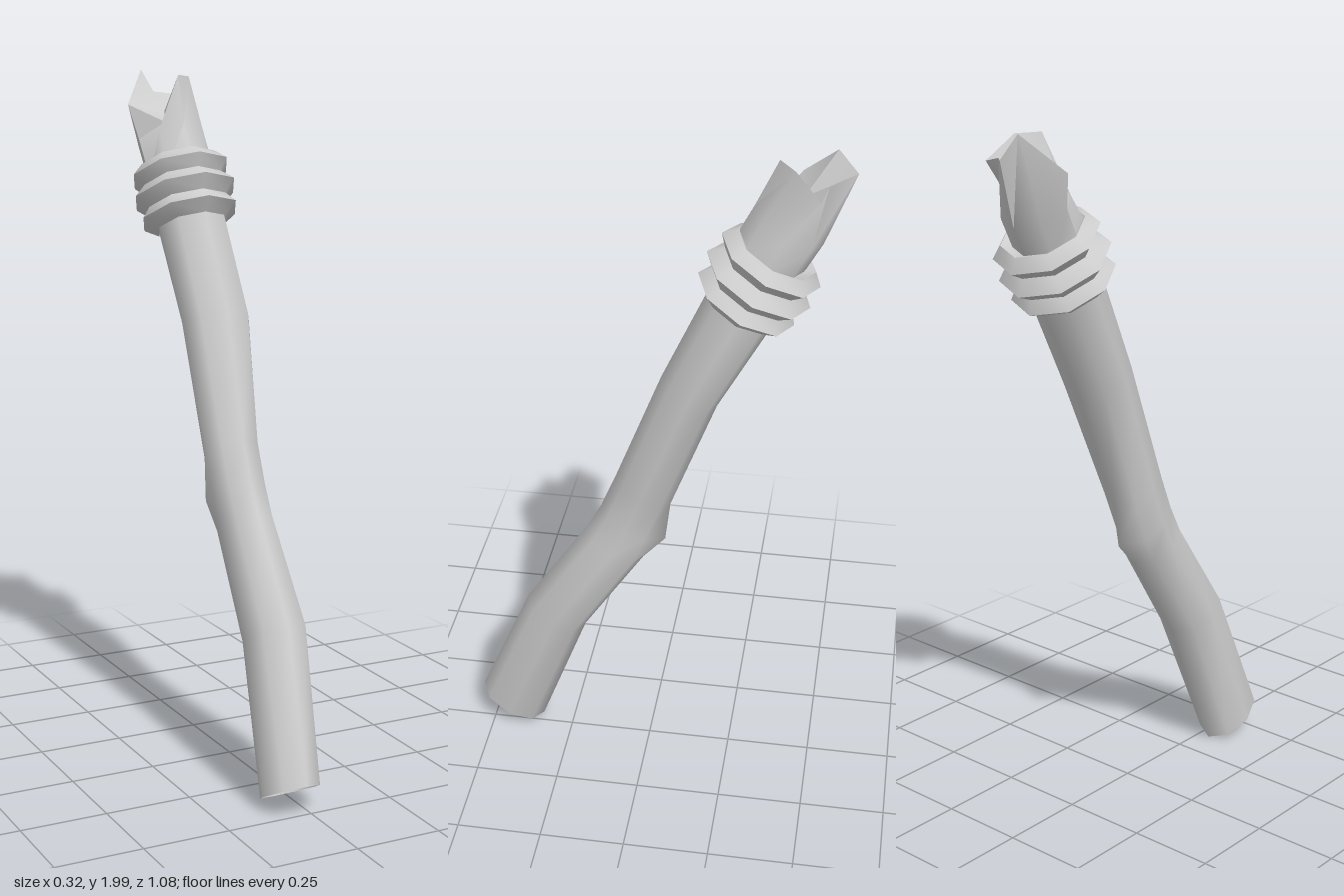
import * as THREE from 'three';
import { toCreasedNormals } from 'three/addons/utils/BufferGeometryUtils.js';

const SIDES = 8;
const TILT = 0.48; // backward lean of every cross-section

// Ring of points around a centre; bumps scales single points
function ring(cx, cy, cz, rx, rz, bumps = {}) {
  return Array.from({ length: SIDES }, (_, i) => {
    const a = (i / SIDES) * Math.PI * 2;
    const k = bumps[i] ?? 1;
    const f = rz * k * Math.cos(a);
    return [cx + rx * k * Math.sin(a), cy + f * Math.sin(TILT), cz + f * Math.cos(TILT)];
  });
}

// Skin a stack of rings; an optional apex point closes the top
function skin(rings, apex) {
  const pos = rings.flat(2);
  const index = [];
  for (let r = 0; r < rings.length - 1; r++) {
    for (let i = 0; i < SIDES; i++) {
      const a = r * SIDES + i;
      const b = r * SIDES + ((i + 1) % SIDES);
      index.push(a, b, b + SIDES, a, b + SIDES, a + SIDES);
    }
  }
  if (apex) {
    const top = (rings.length - 1) * SIDES;
    pos.push(...apex);
    for (let i = 0; i < SIDES; i++) index.push(top + i, top + ((i + 1) % SIDES), rings.length * SIDES);
  }
  const g = new THREE.BufferGeometry();
  g.setAttribute('position', new THREE.Float32BufferAttribute(pos, 3));
  g.setIndex(index);
  g.computeVertexNormals();
  return g;
}

export function createModel() {
  const group = new THREE.Group();
  const grey = new THREE.MeshStandardMaterial({ color: 0xcccccc, side: THREE.DoubleSide });
  grey.name = 'pale grey';
  const add = (name, geometry) => {
    const mesh = new THREE.Mesh(geometry, grey);
    mesh.name = name;
    group.add(mesh);
    return mesh;
  };

  // Crooked, leaning shaft with a knot on its back, open at the foot
  add('shaft', skin([
    ring(-0.037, 0.057, 0.445, 0.08, 0.108),
    ring(-0.005, 0.46, 0.287, 0.094, 0.098),
    ring(-0.005, 0.735, 0.105, 0.08, 0.096),
    ring(-0.005, 0.82, 0.065, 0.08, 0.09, { 4: 1.38, 5: 1.22 }),
    ring(-0.005, 0.93, 0.02, 0.08, 0.09),
    ring(0.012, 1.285, -0.112, 0.107, 0.088),
    ring(0, 1.56, -0.25, 0.105, 0.1),
    ring(-0.005, 1.7, -0.31, 0.102, 0.102),
  ]));

  // Collar of three sharp ridges
  const profile = [
    [0.105, -0.1], [0.148, -0.068], [0.122, -0.035], [0.158, 0],
    [0.122, 0.035], [0.15, 0.068], [0.118, 0.1], [0.09, 0.085],
  ].map(([r, y]) => new THREE.Vector2(r, y));
  const collar = add('ridgedCollar', toCreasedNormals(new THREE.LatheGeometry(profile, SIDES), 0.95));
  collar.position.set(0, 1.64, -0.292);
  collar.rotation.x = -TILT;

  // Broken tip: jagged rim, gash at the front right, hollow centre
  const rim = [
    [0, 1.985, -0.335], [0.055, 1.98, -0.38], [0.09, 1.915, -0.45], [0.03, 1.93, -0.465],
    [-0.045, 1.94, -0.535], [-0.055, 2, -0.48], [-0.138, 1.9, -0.388], [-0.05, 1.85, -0.32],
  ];
  add('brokenTip', toCreasedNormals(skin([
    ring(-0.005, 1.69, -0.305, 0.102, 0.102),
    ring(-0.012, 1.8, -0.365, 0.102, 0.104, { 7: 0.85 }),
    rim,
  ], [-0.015, 1.88, -0.4]), 0.95));

  return group;
}
